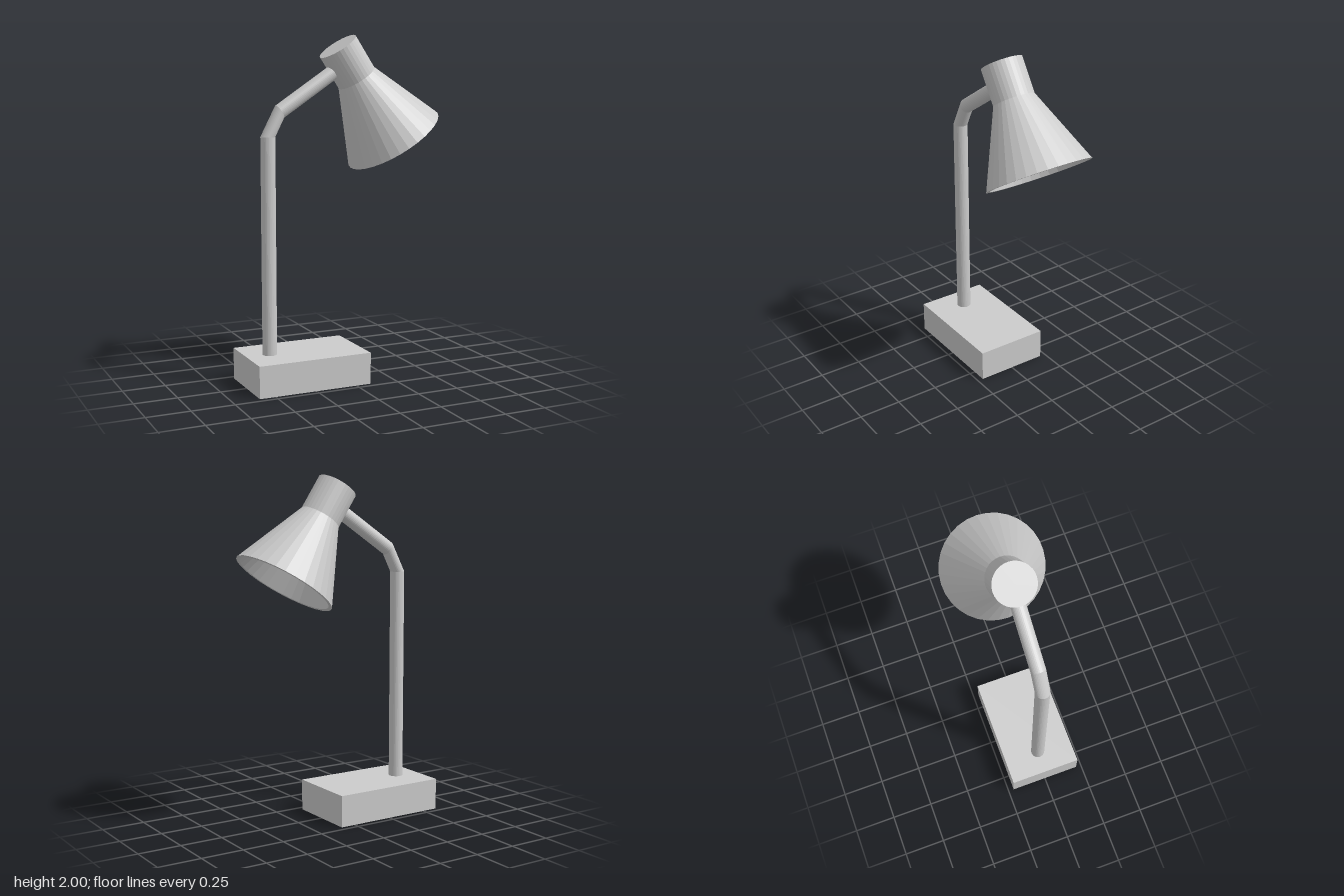
import * as THREE from 'three';

const TILT = THREE.MathUtils.degToRad(33.5); // lean of the shade axis
const SIDES = 32;

export function createModel() {
  const lamp = new THREE.Group();
  lamp.name = 'deskLamp';
  const material = new THREE.MeshStandardMaterial({ color: 0xcccccc, flatShading: true });

  function add(parent, name, geometry, x = 0, y = 0, z = 0) {
    const mesh = new THREE.Mesh(geometry, material);
    mesh.name = name;
    mesh.position.set(x, y, z);
    parent.add(mesh);
    return mesh;
  }

  // Block base
  add(lamp, 'base', new THREE.BoxGeometry(0.684, 0.185, 0.432), -0.252, 0.0925, 0);

  // Bent stem: a cylinder whose rings are placed along the path, each with its own tilt
  const bend = Math.PI / 2 - TILT;
  const rings = [
    { x: -0.45, y: 0.15, angle: 0 },
    { x: -0.45, y: 1.433, angle: 0 },
    { x: -0.378, y: 1.572, angle: bend },
    { x: 0.035, y: 1.845, angle: bend },
  ];
  const stem = new THREE.CylinderGeometry(0.042, 0.042, 3, SIDES, rings.length - 1);
  const pos = stem.attributes.position;
  for (let i = 0; i < pos.count; i++) {
    const ring = rings[Math.round(pos.getY(i) + 1.5)];
    const r = pos.getX(i);
    pos.setX(i, ring.x + r * Math.cos(ring.angle));
    pos.setY(i, ring.y - r * Math.sin(ring.angle));
  }
  stem.computeVertexNormals();
  add(lamp, 'stem', stem);

  // Tilted head, with its origin at the centre of the cap
  const head = new THREE.Group();
  head.name = 'head';
  head.position.set(-0.02, 1.935, 0);
  head.rotation.z = TILT;
  lamp.add(head);

  // Hollow shade: inner ceiling, inner cone, rim, outer cone, collar, cap
  const profile = [
    [0, -0.22], [0.1, -0.22], [0.281, -0.646], [0.303, -0.646],
    [0.119, -0.213], [0.119, 0], [0, 0],
  ].map(([r, y]) => new THREE.Vector2(r, y));
  add(head, 'shade', new THREE.LatheGeometry(profile, SIDES));

  // Bulb and its short neck up to the ceiling of the shade
  add(head, 'bulb', new THREE.SphereGeometry(0.098, SIDES, 16), 0, -0.4, 0);
  add(head, 'bulbNeck', new THREE.CylinderGeometry(0.045, 0.045, 0.12, 16), 0, -0.27, 0);

  return lamp;
}
